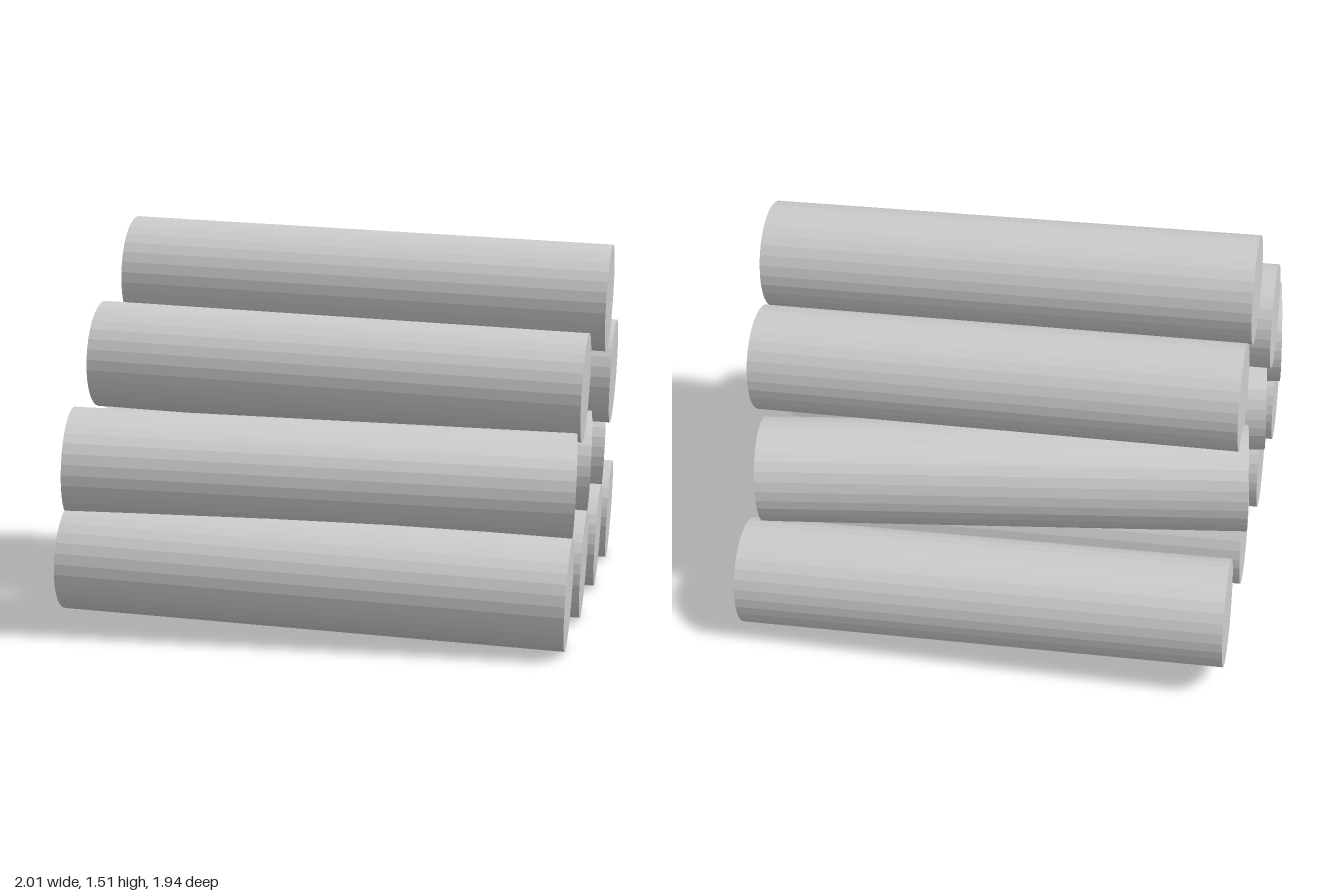
import * as THREE from 'three';

const RADIUS = 0.209;
const SIDES = 32;

// Each row shares its lean along z; logs are listed from front to back by their +x end.
const ROWS = [
  { name: 'bottomLog', leanZ: 0.1, logs: [
    { x: [-0.97, 0.935], y: 0.21, z: 0.66 },
    { x: [-0.97, 0.935], y: 0.21, z: 0.2 },
    { x: [-0.97, 0.935], y: 0.21, z: -0.283 },
    { x: [-0.975, 0.93], y: 0.21, z: -0.763 },
  ] },
  { name: 'secondRowLog', leanZ: 0.285, logs: [
    { x: [-0.97, 0.92], y: 0.562, z: 0.432 },
    { x: [-0.97, 0.92], y: 0.562, z: -0.037 },
    { x: [-0.97, 0.92], y: 0.54, z: -0.525 },
  ] },
  { name: 'thirdRowLog', leanZ: 0.072, logs: [
    { x: [-0.975, 0.937], y: 0.918, z: 0.257 },
    { x: [-0.925, 0.987], y: 0.898, z: -0.267 },
  ] },
  { name: 'topLog', leanZ: 0.072, logs: [
    { x: [-0.92, 0.992], y: 1.228, z: -0.017 },
  ] },
];
const DROP = 0.077; // every log sinks by this much towards +x

// A straight faceted log between two end centres
function makeLog(name, start, end, material) {
  const axis = end.clone().sub(start);
  const log = new THREE.Mesh(
    new THREE.CylinderGeometry(RADIUS, RADIUS, axis.length(), SIDES), material);
  log.name = name;
  log.position.copy(start).add(end).multiplyScalar(0.5);
  log.quaternion.setFromUnitVectors(new THREE.Vector3(0, 1, 0), axis.normalize());
  return log;
}

export function createModel() {
  const model = new THREE.Group();
  model.name = 'logPile';
  const material = new THREE.MeshStandardMaterial({ color: 0xcccccc, flatShading: true });

  for (const { name, leanZ, logs } of ROWS) {
    logs.forEach(({ x, y, z }, i) => {
      const start = new THREE.Vector3(x[0], y + DROP, z + leanZ);
      const end = new THREE.Vector3(x[1], y, z);
      model.add(makeLog(name + (i + 1), start, end, material));
    });
  }
  return model;
}
